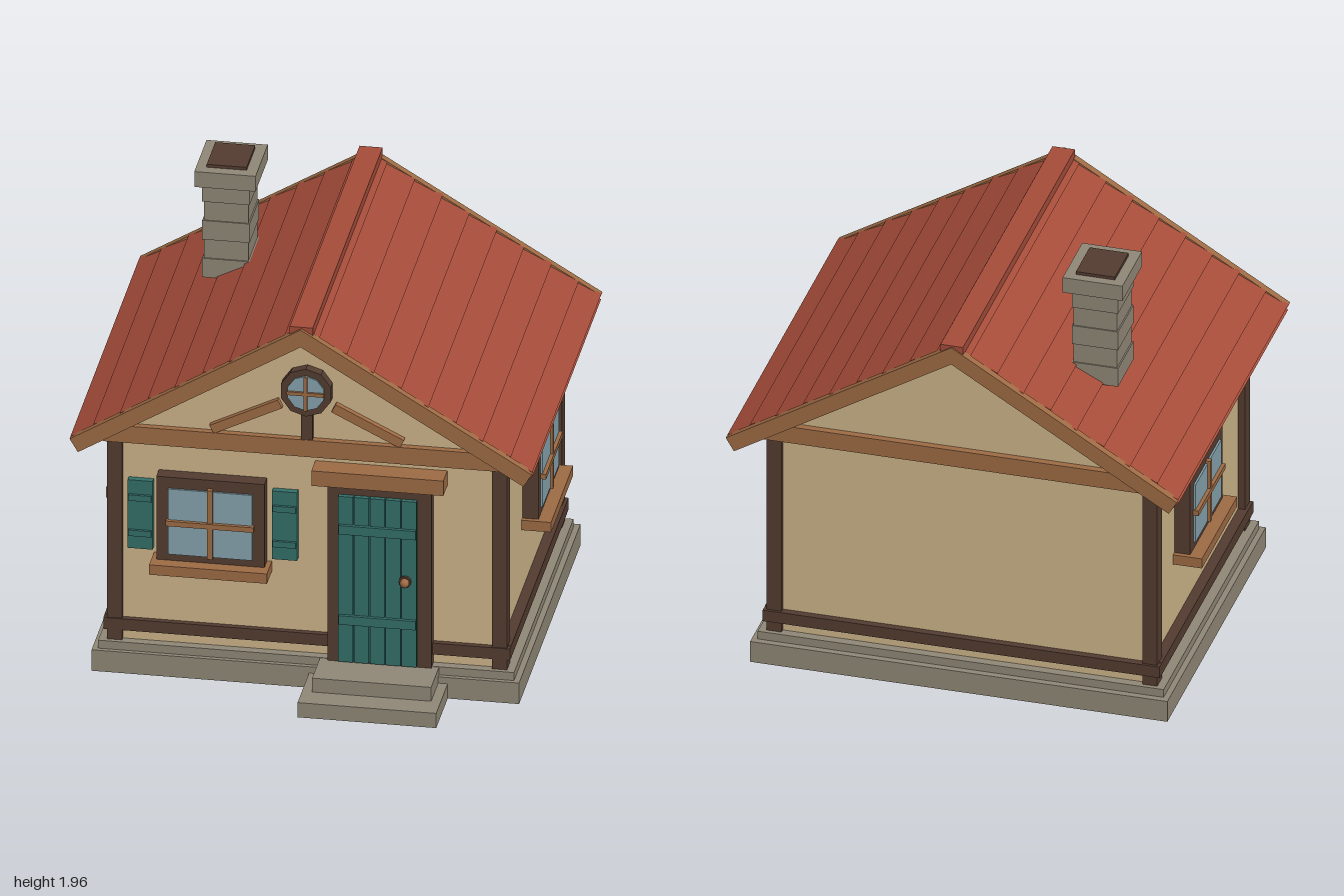
import * as THREE from 'three';

const paint = (name, color) => {
  const m = new THREE.MeshStandardMaterial({ color });
  m.name = name;
  return m;
};

export function createModel() {
  const plaster = paint('plaster', 0xcfb68a), darkWood = paint('dark wood', 0x543d31);
  const wood = paint('wood', 0x9f6c45), teal = paint('teal paint', 0x35706a);
  const glass = paint('glass', 0x86a4ae), stone = paint('stone', 0x918978);
  const tile = paint('roof tile', 0xa64d3a);

  const house = new THREE.Group();
  house.name = 'cottage';

  const add = (name, geo, mat, parent = house) => {
    const mesh = new THREE.Mesh(geo, mat);
    mesh.name = name;
    parent.add(mesh);
    return mesh;
  };
  // Box given by its limits on each axis
  const box = (name, mat, x0, x1, y0, y1, z0, z1, parent = house) => {
    const m = add(name, new THREE.BoxGeometry(x1 - x0, y1 - y0, z1 - z0), mat, parent);
    m.position.set((x0 + x1) / 2, (y0 + y1) / 2, (z0 + z1) / 2);
    return m;
  };
  // Outline in x and y, extruded from z0 to z1
  const slab = (name, mat, points, z0, z1) => {
    const shape = new THREE.Shape(points.map(([x, y]) => new THREE.Vector2(x, y)));
    const geo = new THREE.ExtrudeGeometry(shape, { depth: z1 - z0, bevelEnabled: false });
    return add(name, geo.translate(0, 0, z0), mat);
  };

  // Foundation and steps
  box('foundation', stone, -0.925, 0.925, 0, 0.1, -0.85, 0.68);
  box('foundationTop', stone, -0.9, 0.9, 0.1, 0.138, -0.82, 0.66);
  box('lowerStep', stone, 0.016, 0.616, 0, 0.07, 0.6, 0.965);
  box('upperStep', stone, 0.06, 0.575, 0.07, 0.136, 0.6, 0.855);

  // Walls with both gables
  slab('walls', plaster,
    [[-0.835, 0.13], [0.835, 0.13], [0.835, 1.185], [0, 1.69], [-0.835, 1.185]], -0.78, 0.62);

  // Timber frame
  for (const s of [-1, 1]) {
    const a = Math.min(s * 0.8, s * 0.866), b = Math.max(s * 0.8, s * 0.866);
    box('cornerPost', darkWood, a, b, 0.135, 1.17, 0.565, 0.64);
    box('cornerPost', darkWood, a, b, 0.135, 1.17, -0.8, -0.727);
    const c = Math.min(s * 0.8, s * 0.88), d = Math.max(s * 0.8, s * 0.88);
    box('sideBand', darkWood, c, d, 0.185, 0.243, -0.777, 0.617);
    box('sidePlate', wood, c, d, 1.085, 1.165, -0.81, 0.648);
  }
  for (const [z0, z1] of [[0.58, 0.645], [-0.812, -0.74]]) {
    box('endBand', darkWood, -0.88, 0.88, 0.187, 0.241, z0, z1);
    box('tieBeam', wood, -0.88, 0.88, 1.085, 1.165, z0, z1 + Math.sign(z1) * 0.005);
  }
  for (const s of [-1, 1]) {
    const brace = box('gableBrace', wood, -0.165, 0.165, -0.021, 0.021, 0.61, 0.645);
    brace.position.set(s * 0.264, 1.252, 0.63);
    brace.rotation.z = -s * 0.46;
  }
  box('gablePost', darkWood, -0.025, 0.025, 1.165, 1.31, 0.61, 0.647);

  // Roof slab, bargeboards and ridge
  const slope = 0.605, angle = Math.atan(slope), apex = 1.763;
  const chevron = (drop) => [[0, apex - drop], [1, apex - slope - drop], [0.964, 1.098],
    [0, 1.681], [-0.964, 1.098], [-1, apex - slope - drop]];
  slab('roofSlab', tile, chevron(0.018), -0.93, 0.765);
  slab('frontBargeboard', wood, chevron(0), 0.762, 0.797);
  slab('backBargeboard', wood, chevron(0), -0.965, -0.93);
  box('ridgeCap', tile, -0.05, 0.05, 1.715, 1.769, -0.958, 0.782);

  // Overlapping tile courses, each tilted up at its lower edge
  for (const s of [-1, 1]) {
    const side = new THREE.Group();
    side.name = s > 0 ? 'leftTiles' : 'rightTiles';
    side.position.set(0, apex, -0.083);
    side.rotation.y = s > 0 ? 0 : Math.PI;
    const pitch = new THREE.Group();
    pitch.rotation.z = -angle;
    side.add(pitch);
    for (let i = 0; i < 9; i++) {
      const end = Math.min(0.09 + i * 0.138, 1.168), start = Math.max(0.02, end - 0.15);
      const length = i % 2 ? 1.69 : 1.72;
      const row = add('tileCourse', new THREE.BoxGeometry(end - start, 0.014, length), tile, pitch);
      row.position.set((start + end) / 2, -0.011, 0);
      row.rotation.z = 0.08;
    }
    house.add(side);
  }

  // Chimney of slightly uneven blocks
  for (let i = 0; i < 5; i++) {
    const e = i % 2 ? 0.006 : 0;
    box('chimneyBlock', stone, -0.615 + e, -0.41 - e, 1.425 + i * 0.09, 1.515 + i * 0.09,
      -0.53 + e, -0.29 - e);
  }
  box('chimneyCap', stone, -0.643, -0.378, 1.87, 1.943, -0.56, -0.255);
  box('chimneyFlue', darkWood, -0.598, -0.425, 1.94, 1.957, -0.518, -0.305);

  // Window facing +z with its wall at z = 0
  const makeWindow = (name, w, h, bar) => {
    const g = new THREE.Group();
    g.name = name;
    const x = w / 2, y = h / 2, gx = x - 0.052, gTop = y - 0.052, gBot = -y + 0.037;
    box('frame', darkWood, -x, x, -y, y, -0.01, 0.07, g);
    box('pane', glass, -gx, gx, gBot, gTop, 0.07, 0.079, g);
    box('verticalBar', wood, -0.012, 0.012, gBot - 0.005, gTop + 0.012, 0.07, 0.091, g);
    box('crossBar', wood, -gx - 0.008, gx + 0.008, bar - 0.012, bar + 0.012, 0.07, 0.095, g);
    box('sill', wood, -x - 0.021, x + 0.021, -y - 0.043, -y + 0.004, -0.01, 0.128, g);
    house.add(g);
    return g;
  };
  makeWindow('frontWindow', 0.468, 0.4, -0.01).position.set(-0.41, 0.755, 0.615);
  for (const s of [-1, 1]) {
    const w = makeWindow('sideWindow', 0.505, 0.372, 0);
    w.position.set(s * 0.835, 0.765, -0.172);
    w.rotation.y = s * Math.PI / 2;
  }

  // Shutters
  for (const x of [-0.72, -0.095]) {
    box('shutter', teal, x - 0.054, x + 0.054, 0.585, 0.91, 0.61, 0.65);
    for (const y of [0.662, 0.83])
      box('shutterBatten', teal, x - 0.05, x + 0.05, y - 0.014, y + 0.014, 0.65, 0.662);
  }

  // Door with planks, battens and knob
  box('doorFrame', darkWood, 0.096, 0.545, 0.135, 0.985, 0.6, 0.676);
  box('doorLintel', wood, 0.033, 0.604, 0.985, 1.056, 0.61, 0.72);
  box('doorBacking', teal, 0.147, 0.484, 0.145, 0.93, 0.67, 0.686);
  for (let i = 0; i < 5; i++) {
    const x = 0.145 + i * 0.0686;
    box('doorPlank', teal, x, x + 0.0636, 0.145, 0.933, 0.67, 0.697);
  }
  for (const y of [0.35, 0.78])
    box('doorBatten', teal, 0.15, 0.482, y - 0.021, y + 0.021, 0.69, 0.712);
  const plate = add('knobPlate', new THREE.CylinderGeometry(0.027, 0.027, 0.014, 12), darkWood);
  plate.position.set(0.435, 0.552, 0.702);
  plate.rotation.x = Math.PI / 2;
  add('doorKnob', new THREE.SphereGeometry(0.021, 12, 8), wood).position.set(0.435, 0.552, 0.717);

  // Round gable window
  const round = new THREE.Group();
  round.name = 'roundWindow';
  round.position.set(0, 1.398, 0.615);
  const disc = (name, mat, r, z0, z1) => {
    const geo = new THREE.CylinderGeometry(r, r, z1 - z0, 10).toNonIndexed();
    geo.computeVertexNormals();
    const m = add(name, geo, mat, round);
    m.rotation.x = Math.PI / 2;
    m.position.z = (z0 + z1) / 2;
  };
  disc('roundFrame', darkWood, 0.113, -0.01, 0.05);
  disc('roundPane', glass, 0.082, 0.05, 0.058);
  box('verticalBar', wood, -0.008, 0.008, -0.08, 0.08, 0.05, 0.066, round);
  box('crossBar', wood, -0.08, 0.08, -0.008, 0.008, 0.05, 0.068, round);
  house.add(round);

  return house;
}
